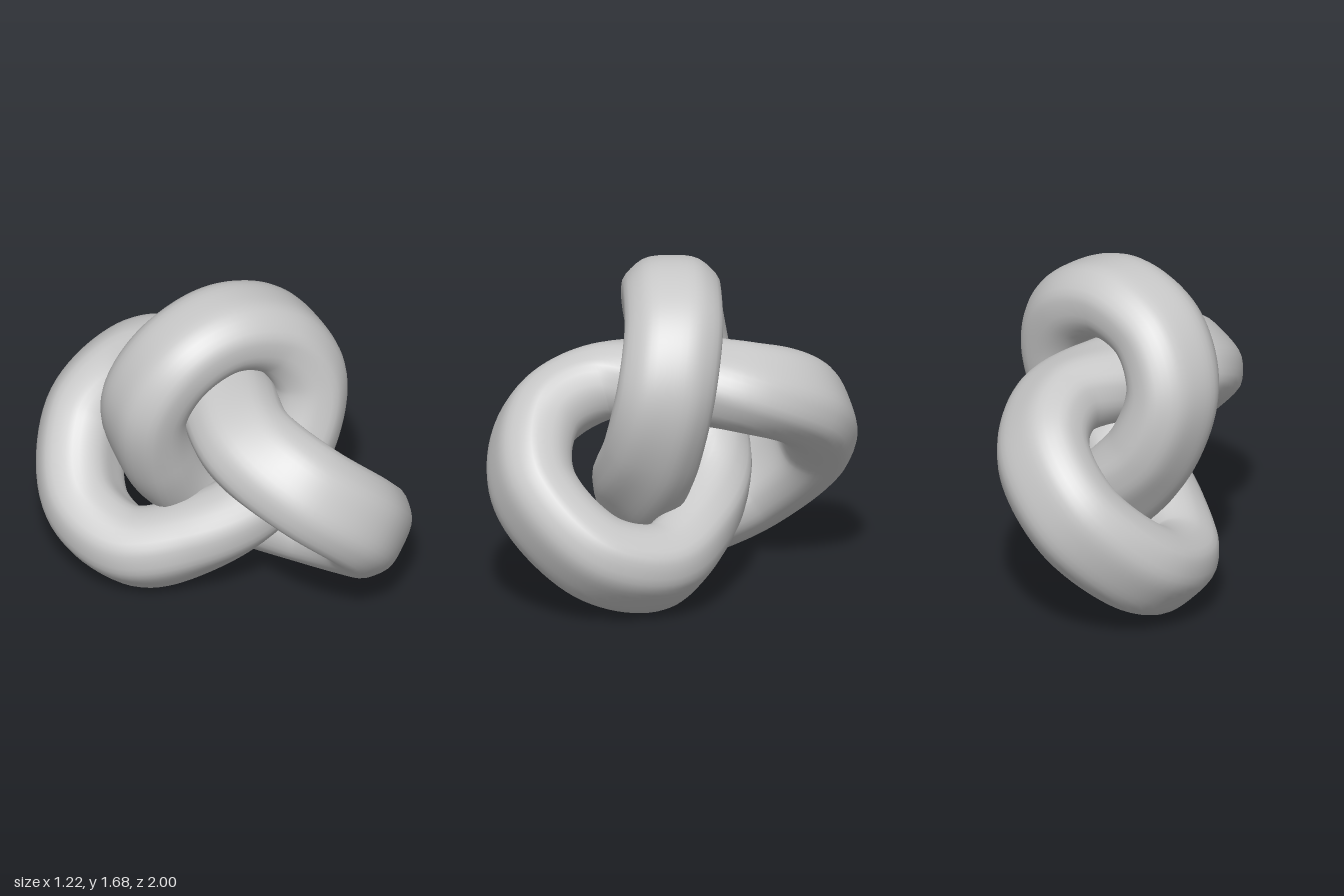
import * as THREE from 'three';

// Half the knot, from the top loop's apex to the threaded strand:
// [centre of the strand], [direction across the band]
const HALF = [
  [[0, 1.47, 0], [-0.42, 0, 0.9]],
  [[0.24, 1.37, 0.12], [-0.42, 0, 0.9]],
  [[0.35, 1.12, 0.22], [-0.43, 0.02, 0.9]],
  [[0.26, 0.8, 0.245], [-0.52, 0.16, 0.78]],
  [[0.02, 0.5, 0.19], [-0.7, 0.46, 0.46]],
  [[-0.21, 0.31, -0.02], [-0.74, 0.62, 0.18]],
  [[-0.37, 0.215, -0.28], [-0.71, 0.71, 0.02]],
  [[-0.33, 0.31, -0.61], [-0.71, 0.71, 0]],
  [[-0.05, 0.61, -0.805], [-0.71, 0.71, 0]],
  [[0.18, 0.87, -0.65], [-0.71, 0.69, -0.02]],
  [[0.21, 1.01, -0.32], [-0.82, 0.4, -0.28]],
  [[0, 1.045, 0], [-0.83, 0, -0.56]],
];
// Half of the soft octagonal section: [across the band, outwards]
const SECTION = [[0, 0.193], [0.125, 0.18], [0.19, 0.135], [0.238, 0.075], [0.243, 0], [0.232, -0.07], [0.19, -0.135], [0.13, -0.18], [0, -0.19]];
const RINGS = 240, SIDES = 40;

// Closed curve through the given half and its copy turned 180 degrees about
// the vertical axis; sign is -1 for directions, which also reverse
function closedCurve(half, sign) {
  const first = half.map((p) => new THREE.Vector3(...p));
  const second = first.slice(1, -1).reverse()
    .map((p) => new THREE.Vector3(-p.x, p.y, -p.z).multiplyScalar(sign));
  return new THREE.CatmullRomCurve3([...first, ...second], true, 'centripetal');
}

function sectionPoints() {
  const right = SECTION.map(([w, t]) => new THREE.Vector3(w, t, 0));
  const left = right.slice(1, -1).reverse().map((p) => new THREE.Vector3(-p.x, p.y, 0));
  return new THREE.CatmullRomCurve3([...right, ...left], true, 'centripetal').getSpacedPoints(SIDES).slice(0, SIDES);
}

// Section swept along the closed centre line
function strandGeometry() {
  const path = closedCurve(HALF.map((h) => h[0]), 1);
  const across = closedCurve(HALF.map((h) => h[1]), -1);
  const section = sectionPoints();
  const positions = [], index = [];
  for (let i = 0; i < RINGS; i++) {
    const centre = path.getPoint(i / RINGS);
    const tangent = path.getTangent(i / RINGS);
    const wide = across.getPoint(i / RINGS);
    wide.addScaledVector(tangent, -wide.dot(tangent)).normalize();
    const thin = new THREE.Vector3().crossVectors(wide, tangent);
    section.forEach((s, j) => {
      const p = centre.clone().addScaledVector(wide, s.x).addScaledVector(thin, s.y);
      positions.push(p.x, p.y, p.z);
      const i2 = (i + 1) % RINGS, j2 = (j + 1) % SIDES;
      const A = i * SIDES + j, B = i * SIDES + j2, C = i2 * SIDES + j2, D = i2 * SIDES + j;
      index.push(A, B, C, A, C, D);
    });
  }
  const geometry = new THREE.BufferGeometry();
  geometry.setAttribute('position', new THREE.Float32BufferAttribute(positions, 3));
  geometry.setIndex(index);
  geometry.computeVertexNormals();
  return geometry;
}

export function createModel() {
  const group = new THREE.Group();
  group.name = 'knot';
  const grey = new THREE.MeshStandardMaterial({ color: 0xc8c8c8 });
  grey.name = 'grey';
  const strand = new THREE.Mesh(strandGeometry(), grey);
  strand.name = 'knotStrand';
  group.add(strand);
  return group;
}
